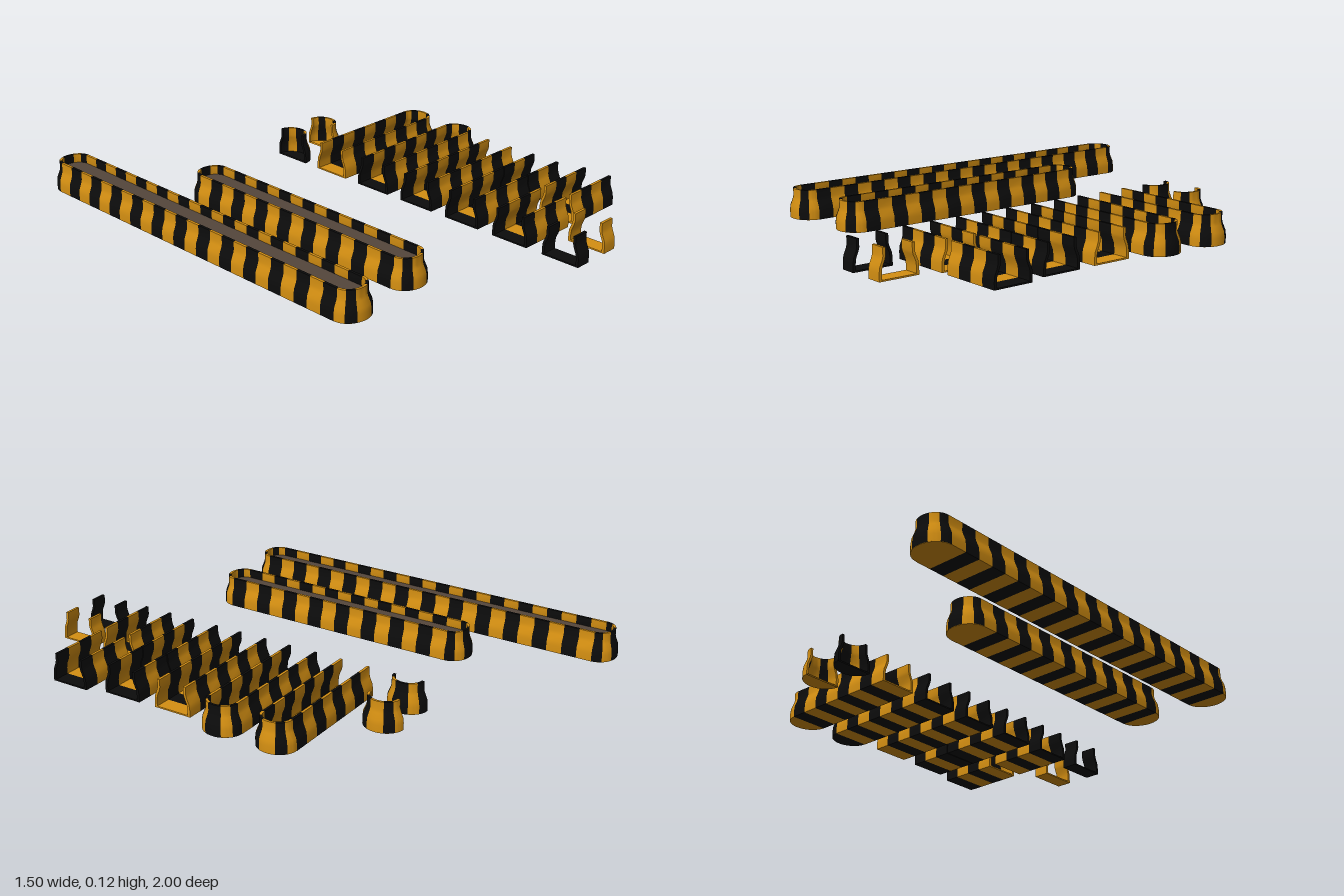
import * as THREE from 'three';
import { toCreasedNormals } from 'three/addons/utils/BufferGeometryUtils.js';

const SEG = 0.0655;       // length of one stripe block
const HALF = 0.0825;      // half width at the foot
const SQUASH = 0.073 / HALF; // end caps are slightly shallower than a half circle
const WALL = 0.011;
const FLOOR = 0.006;

// outer wall profile, foot to rim: [distance from centre line, height]
const OUTER = [[HALF, 0], [HALF, 0.03], [0.08, 0.05], [0.0695, 0.075], [0.066, 0.088], [0.066, 0.12]];
const INNER = OUTER.map(([r, y]) => [r - WALL, Math.max(y, FLOOR)]).reverse();
const v2 = ([x, y]) => new THREE.Vector2(x, y);

export function createModel() {
  const root = new THREE.Group();
  root.name = 'kerbPlanterSet';
  const material = (name, color) => {
    const m = new THREE.MeshStandardMaterial({ color, side: THREE.DoubleSide });
    m.name = name;
    return m;
  };
  const black = material('black', 0x0c0c0c);
  const yellow = material('amberYellow', 0xd48f12);
  const soilBrown = material('soilBrown', 0x54463b);
  const other = (m) => (m === black ? yellow : black);

  const add = (parent, name, geometry, mat) => {
    const mesh = new THREE.Mesh(geometry, mat);
    mesh.name = name;
    parent.add(mesh);
    return mesh;
  };

  // straight block: U-shaped channel extruded along z
  const mirror = (pts) => pts.map(([x, y]) => [-x, y]).reverse();
  const channel = new THREE.Shape([...OUTER, ...INNER, ...mirror(INNER), ...mirror(OUTER)].map(v2));
  const blockGeo = toCreasedNormals(
    new THREE.ExtrudeGeometry(channel, { depth: SEG, bevelEnabled: false }), 0.5);

  // rounded end: wall sectors around the vertical axis and a thin floor
  const wallLoop = [[HALF, 0.001], ...OUTER.slice(1), ...INNER, [HALF, 0.001]].map(v2);
  const deg = THREE.MathUtils.degToRad;
  const edges = [-90, -57, -25, 25, 57, 90];
  const sectorGeos = edges.slice(0, -1).map((a, i) => {
    const g = new THREE.LatheGeometry(wallLoop, 6, deg(a), deg(edges[i + 1] - a));
    g.scale(1, 1, SQUASH);
    return toCreasedNormals(g, 0.5);
  });
  const floorGeo = new THREE.CylinderGeometry(HALF - 0.001, HALF - 0.001, FLOOR, 24, 1, false, -Math.PI / 2, Math.PI);
  floorGeo.translate(0, FLOOR / 2, 0).scale(1, 1, SQUASH);
  const sectionGeo = new THREE.ShapeGeometry(new THREE.Shape(wallLoop.slice(0, -1)));

  function endCap(centre, floor = centre) {
    const cap = new THREE.Group();
    cap.name = 'endCap';
    sectorGeos.forEach((g, i) => add(cap, 'capStripe', g, i % 2 ? other(centre) : centre));
    add(cap, 'capFloor', floorGeo, floor);
    for (const s of [0, Math.PI]) add(cap, 'capSection', sectionGeo, centre).rotation.y = s;
    return cap;
  }

  // run of alternating blocks along +z
  function run(count, first) {
    const g = new THREE.Group();
    g.name = 'straightRun';
    for (let i = 0; i < count; i++) {
      add(g, 'block', blockGeo, i % 2 ? other(first) : first).position.z = i * SEG;
    }
    return g;
  }

  // complete planters filled with soil
  function planter(x, zStart, count) {
    const g = new THREE.Group();
    g.name = 'planter';
    const length = count * SEG;
    g.add(run(count, yellow));
    const front = endCap(yellow);
    front.position.z = length;
    const back = endCap(black, yellow);
    back.rotation.y = Math.PI;
    g.add(front, back);

    const w = 0.059;
    const outline = new THREE.Shape();
    outline.absellipse(0, length / 2, w, w * SQUASH, 0, Math.PI);
    outline.absellipse(0, -length / 2, w, w * SQUASH, Math.PI, Math.PI * 2);
    const soil = new THREE.ExtrudeGeometry(outline, { depth: 0.01, bevelEnabled: false });
    soil.rotateX(-Math.PI / 2).translate(0, 0.074, length / 2);
    add(g, 'soil', soil, soilBrown);
    g.position.set(x, 0, zStart);
    root.add(g);
  }
  planter(-0.672, -0.927, 24);
  planter(-0.362, -0.427, 16);

  // loose pieces laid out in rows, each turned to run along +x
  function place(piece, x, row) {
    piece.rotation.y = Math.PI / 2;
    piece.position.set(x, 0, 0.9175 - 0.2375 * row);
    root.add(piece);
  }
  const X0 = 0.152;
  place(run(1, black), X0, 0);
  place(run(1, yellow), 0.315, 0);
  place(run(4, black), X0, 1);
  place(run(4, yellow), 0.447, 1);
  place(run(5, black), X0, 2);
  place(run(3, black), X0 + 5 * SEG + 0.004, 2);
  place(run(8, black), X0, 3);
  place(run(8, black), X0, 4);
  place(endCap(black), X0 + 8 * SEG, 4);
  place(run(8, yellow), X0, 5);
  place(endCap(yellow), X0 + 8 * SEG, 5);
  place(endCap(black), X0, 6);
  place(endCap(yellow), 0.331, 6);

  return root;
}
